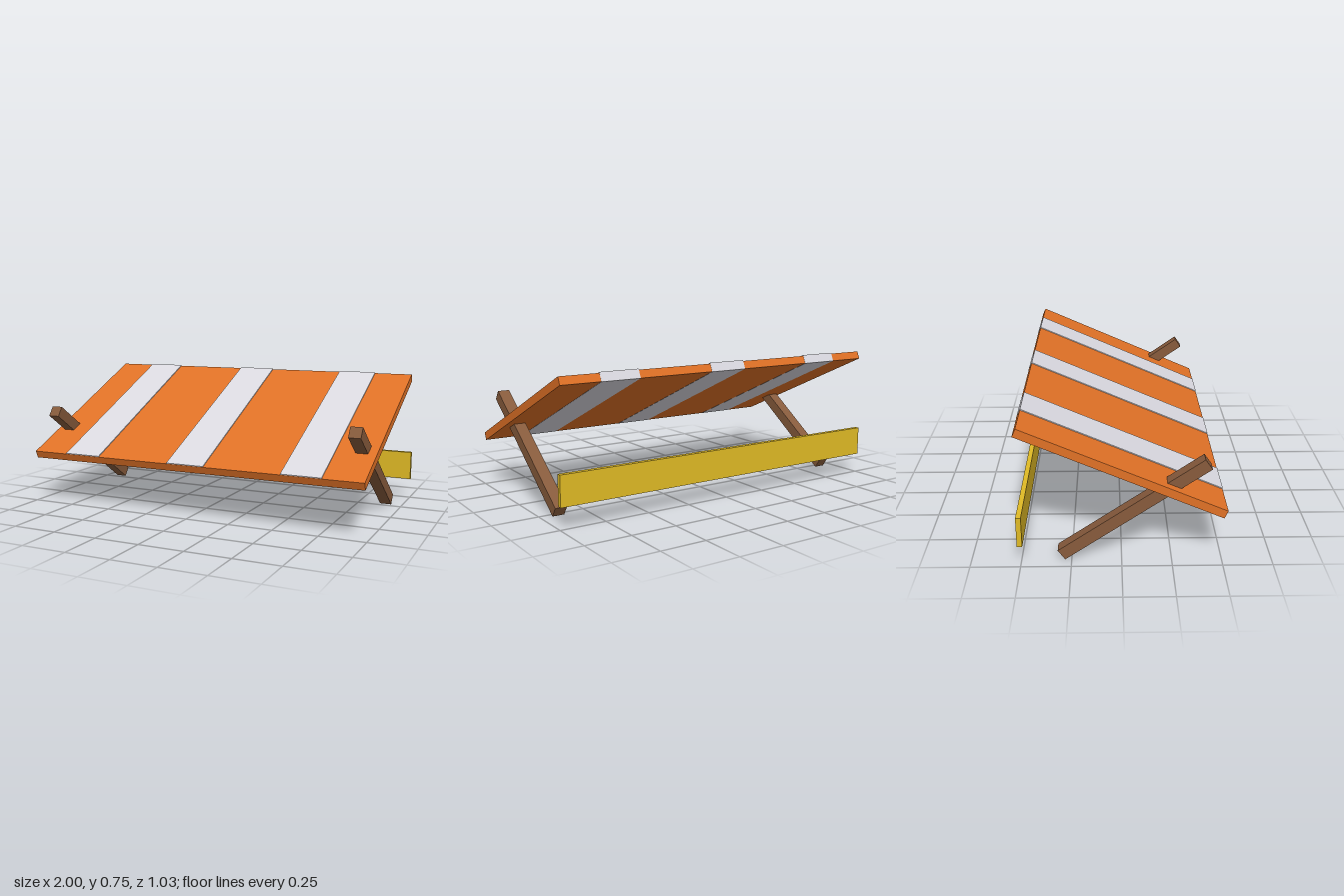
import * as THREE from 'three';

const mat = (name, color) => {
  const m = new THREE.MeshStandardMaterial({ color });
  m.name = name;
  return m;
};

export function createModel() {
  const orange = mat('orange', 0xe07126);
  const white = mat('reflective white', 0xdad9e0);
  const yellow = mat('yellow', 0xe0ba25);
  const brown = mat('brown wood', 0x875b3c);

  const model = new THREE.Group();
  model.name = 'barricade';

  const box = (parent, name, size, pos, material) => {
    const mesh = new THREE.Mesh(new THREE.BoxGeometry(...size), material);
    mesh.name = name;
    mesh.position.set(...pos);
    parent.add(mesh);
    return mesh;
  };

  // Tilted panel, low edge at the front
  const panel = new THREE.Group();
  panel.name = 'panel';
  panel.position.set(0, 0.504, 0.003);
  panel.rotation.x = 0.415;
  model.add(panel);
  box(panel, 'panelBoard', [1.97, 0.044, 1.098], [0, 0, 0], orange);

  // Stripes wrap the top, underside and rear edge of the panel
  for (const x of [-0.657, 0, 0.657]) {
    box(panel, 'stripe', [0.22, 0.05, 1.098], [x, 0.002, -0.001], white);
  }

  // Slanted legs that pass through the panel
  for (const side of [-1, 1]) {
    const leg = box(model, side > 0 ? 'leftLeg' : 'rightLeg',
      [0.065, 0.063, 0.876], [side * 0.906, 0.28, 0.058], brown);
    leg.rotation.x = -0.61;
  }

  // Low upright board at the back
  box(model, 'rearBoard', [2, 0.162, 0.026], [0, 0.199, -0.5], yellow);

  return model;
}
